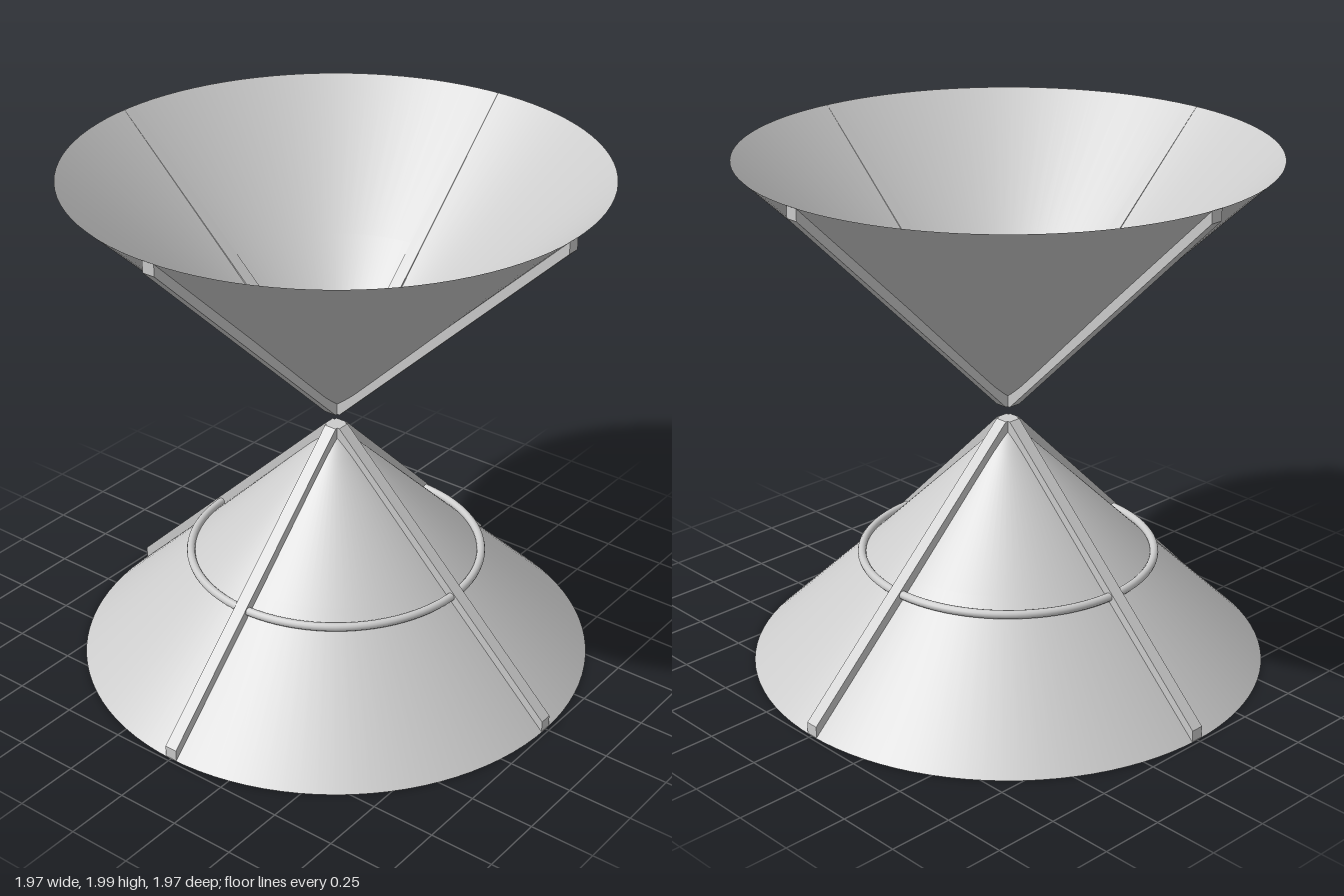
import * as THREE from 'three';

const grey = new THREE.MeshStandardMaterial({ color: 0xcccccc });
const thinGrey = new THREE.MeshStandardMaterial({ color: 0xcccccc, side: THREE.DoubleSide });

const HEIGHT = 2;
const RIM = 0.007;
const RIM_RADIUS = 0.987;
const STRUT_WIDTH = 0.05;

function addMesh(parent, name, geometry, material = grey) {
  const mesh = new THREE.Mesh(geometry, material);
  mesh.name = name;
  parent.add(mesh);
  return mesh;
}

// Thin open shell with a slightly blunted tip
function shellGeometry() {
  const profile = [[RIM_RADIUS, RIM], [0.5, 0.477], [0.1, 0.872], [0.03, 0.935], [0, 0.942]];
  return new THREE.LatheGeometry(profile.map(([r, y]) => new THREE.Vector2(r, y)), 96);
}

// Sloping bar with an upright outer end and a level inner end
function strutGeometry() {
  const outline = [[0, 0.925], [0.03, 0.92], [0.985, RIM], [0.985, 0.053], [0.035, 0.974], [0, 0.974]];
  const shape = new THREE.Shape(outline.map(([x, y]) => new THREE.Vector2(x, y)));
  const geometry = new THREE.ExtrudeGeometry(shape, { depth: STRUT_WIDTH, bevelEnabled: false });
  return geometry.translate(0, 0, -STRUT_WIDTH / 2);
}

// One conical shell carried by four struts, standing on its rim
function createCone(name) {
  const cone = new THREE.Group();
  cone.name = name;
  addMesh(cone, 'shell', shellGeometry(), thinGrey);
  const strut = strutGeometry();
  for (let i = 0; i < 4; i++) {
    addMesh(cone, 'strut', strut).rotation.y = (i * Math.PI) / 2;
  }
  return cone;
}

export function createModel() {
  const model = new THREE.Group();
  model.name = 'doubleCone';

  // Lower cone with its hoop
  const lower = createCone('lowerCone');
  const hoop = new THREE.TorusGeometry(0.561, 0.016, 12, 96).rotateX(Math.PI / 2);
  addMesh(lower, 'hoop', hoop).position.y = 0.437;
  model.add(lower);

  // Upper cone, turned over
  const upper = createCone('upperCone');
  upper.rotation.x = Math.PI;
  upper.position.y = HEIGHT + RIM;
  model.add(upper);

  return model;
}
